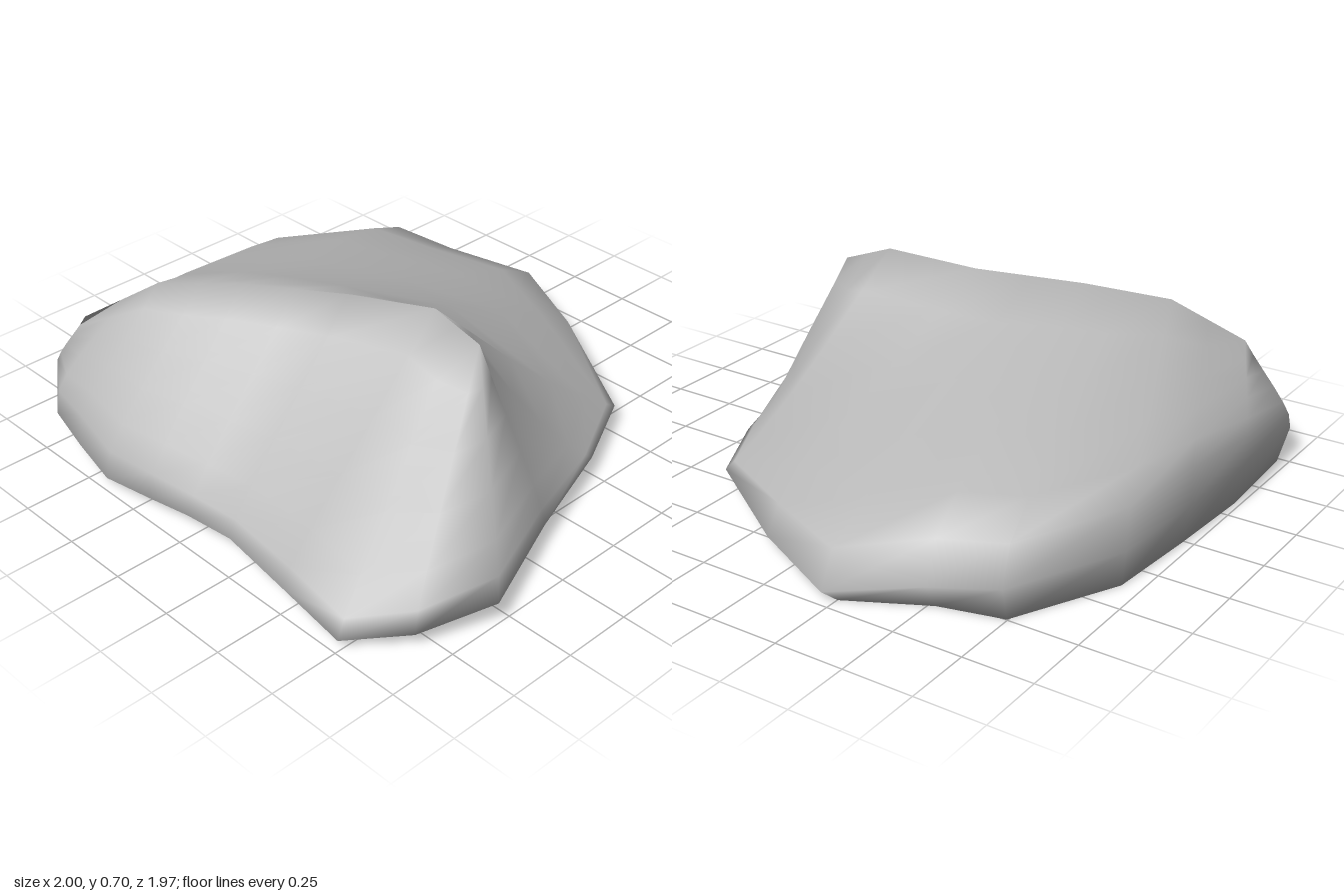
import * as THREE from 'three';
import { mergeVertices } from 'three/addons/utils/BufferGeometryUtils.js';

// Crest of the boulder, from the left shoulder past the peak
const crest = [
  [-0.79, 0.42, 0.76], [-0.57, 0.58, 0.6], [-0.3, 0.63, 0.45],
  [0.05, 0.665, 0.28], [0.36, 0.705, 0.19], [0.54, 0.64, 0.17],
].map((p) => new THREE.Vector3(...p));

// Widest outline: x, z, height, position along the crest, bulge of the slope
const outline = [
  [-0.22, -0.99, 0.04, 2.5, 0.21], [0.13, -0.82, 0.05, 3, 0.16],
  [0.54, -0.55, 0.07, 4, -0.25], [0.69, -0.25, 0.07, 4.5, -0.3],
  [0.83, 0.15, 0.07, 5, 0.07], [1, 0.55, 0.08, 5, 0.12],
  [0.9, 0.81, 0.05, 5, 0.08], [0.74, 0.98, 0.03, 4.5, 0.05],
  [0.45, 0.945, 0.04, 4, 0.06], [0.15, 0.91, 0.05, 3, 0.06],
  [-0.04, 0.93, 0.05, 2.5, 0.08], [-0.22, 0.955, 0.04, 2, 0.12],
  [-0.42, 0.98, 0.03, 1.5, 0.16], [-0.62, 0.945, 0.05, 1, 0.2],
  [-0.8, 0.91, 0.08, 0.5, 0.16], [-0.98, 0.78, 0.12, 0, 0.08],
  [-1, 0.37, 0.15, 0, 0.17], [-0.98, 0, 0.14, 0.5, 0.23],
  [-0.95, -0.38, 0.13, 1, 0.25], [-0.75, -0.78, 0.12, 1.5, 0.23],
  [-0.51, -0.84, 0.08, 2, 0.25],
];

const steps = [0, 0.05, 0.18, 0.38, 0.6, 0.82, 1];

function crestPoint(t) {
  const i = Math.min(Math.floor(t), crest.length - 2);
  return crest[i].clone().lerp(crest[i + 1], t - i);
}

// Slope from the outline (s = 0) to the crest (s = 1)
function slopePoint([x, z, y, t, bulge], s) {
  const p = new THREE.Vector3(x, y, z).lerp(crestPoint(t), s);
  // Bulges swell near the rim, hollows sink midway
  p.y += bulge * Math.pow(s, bulge > 0 ? 0.25 : 1) * Math.pow(1 - s, 1.5);
  return p;
}

function boulderGeometry() {
  const n = outline.length;
  const rings = [
    // Footprint, tucked in under the rim
    outline.map(([x, z]) => new THREE.Vector3(x * 0.935 - 0.045, 0, z * 0.945 - 0.01)),
    ...steps.map((s) => outline.map((o) => slopePoint(o, s))),
  ];
  const points = [...rings.flat(), new THREE.Vector3(0, 0, 0)];
  const index = [];
  for (let i = 0; i < n; i++) {
    const j = (i + 1) % n;
    // Flat underside
    index.push(i, j, points.length - 1);
    // Sides
    for (let r = 0; r < rings.length - 1; r++) {
      const a = r * n + i, b = r * n + j;
      index.push(a, a + n, b, b, a + n, b + n);
    }
  }
  const geometry = new THREE.BufferGeometry().setFromPoints(points);
  geometry.setIndex(index);
  // Join both slopes along the crest for a soft ridge
  const joined = mergeVertices(geometry, 1e-4);
  joined.computeVertexNormals();
  return joined;
}

export function createModel() {
  const stone = new THREE.MeshStandardMaterial({ color: 0xb8b8b8 });
  stone.name = 'grey stone';
  const boulder = new THREE.Mesh(boulderGeometry(), stone);
  boulder.name = 'boulder';
  const group = new THREE.Group();
  group.name = 'rock';
  group.add(boulder);
  return group;
}
